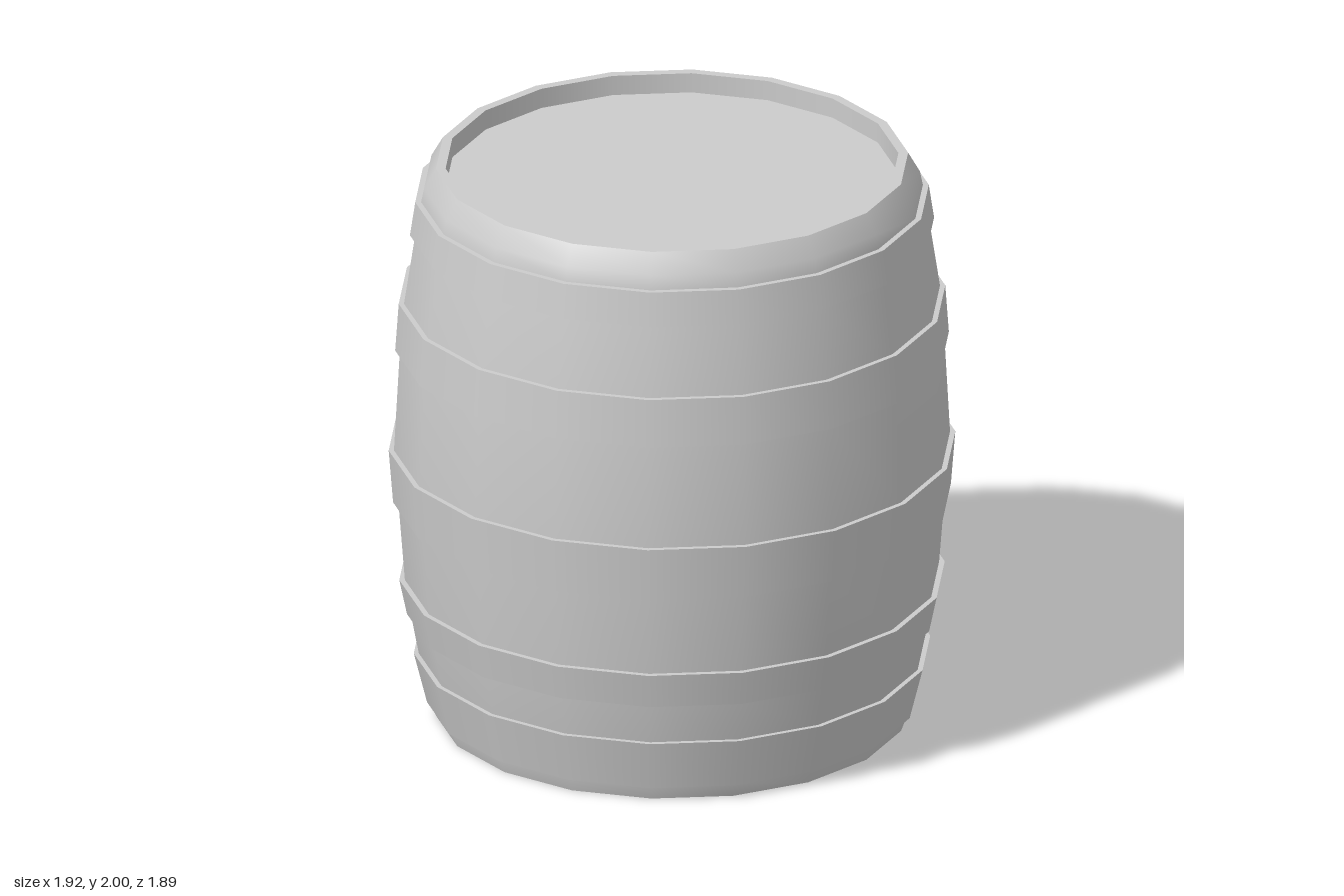
import * as THREE from 'three';
import { mergeGeometries } from 'three/addons/utils/BufferGeometryUtils.js';

const SIDES = 18;

export function createModel() {
  const barrel = new THREE.Group();
  barrel.name = 'barrel';
  const material = new THREE.MeshStandardMaterial({ color: 0xcccccc });

  // Each run of [radius, height] points is smooth; edges between runs stay sharp.
  // Runs go counterclockwise round the section so the faces look outwards.
  function turned(name, runs) {
    const parts = runs.map((run) =>
      new THREE.LatheGeometry(run.map(([r, y]) => new THREE.Vector2(r, y)), SIDES, Math.PI / 2));
    const mesh = new THREE.Mesh(mergeGeometries(parts), material);
    mesh.name = name;
    barrel.add(mesh);
  }

  // Bulging wall with rounded shoulder
  const wall = [
    [0.8, 0], [0.818, 0.05], [0.858, 0.23], [0.885, 0.375], [0.905, 0.5],
    [0.927, 0.785], [0.942, 0.975], [0.922, 1.34], [0.908, 1.51],
    [0.87, 1.76], [0.85, 1.88], [0.84, 1.93], [0.8, 2],
  ];
  turned('staves', [wall]);

  // Top lip, and the recessed heads at both ends
  turned('topRim', [
    [[0.8, 2], [0.767, 2]],
    [[0.767, 2], [0.767, 1.93]],
  ]);
  turned('lid', [[[0.767, 1.93], [0, 1.93]]]);
  turned('bottomRim', [[[0.765, 0.065], [0.8, 0]]]);
  turned('base', [[[0, 0.065], [0.765, 0.065]]]);

  // Hoops: lower height, lower radius, upper height, upper radius
  const hoops = [
    [0.05, 0.83, 0.23, 0.875],
    [0.375, 0.898, 0.5, 0.924],
    [0.785, 0.945, 0.975, 0.96],
    [1.34, 0.938, 1.51, 0.926],
    [1.76, 0.888, 1.88, 0.87],
  ];
  hoops.forEach(([y0, r0, y1, r1], i) => {
    turned(`hoop${i + 1}`, [
      [[r0 - 0.03, y0], [r0, y0]],
      [[r0, y0], [r1, y1]],
      [[r1, y1], [r1 - 0.03, y1]],
    ]);
  });

  return barrel;
}
